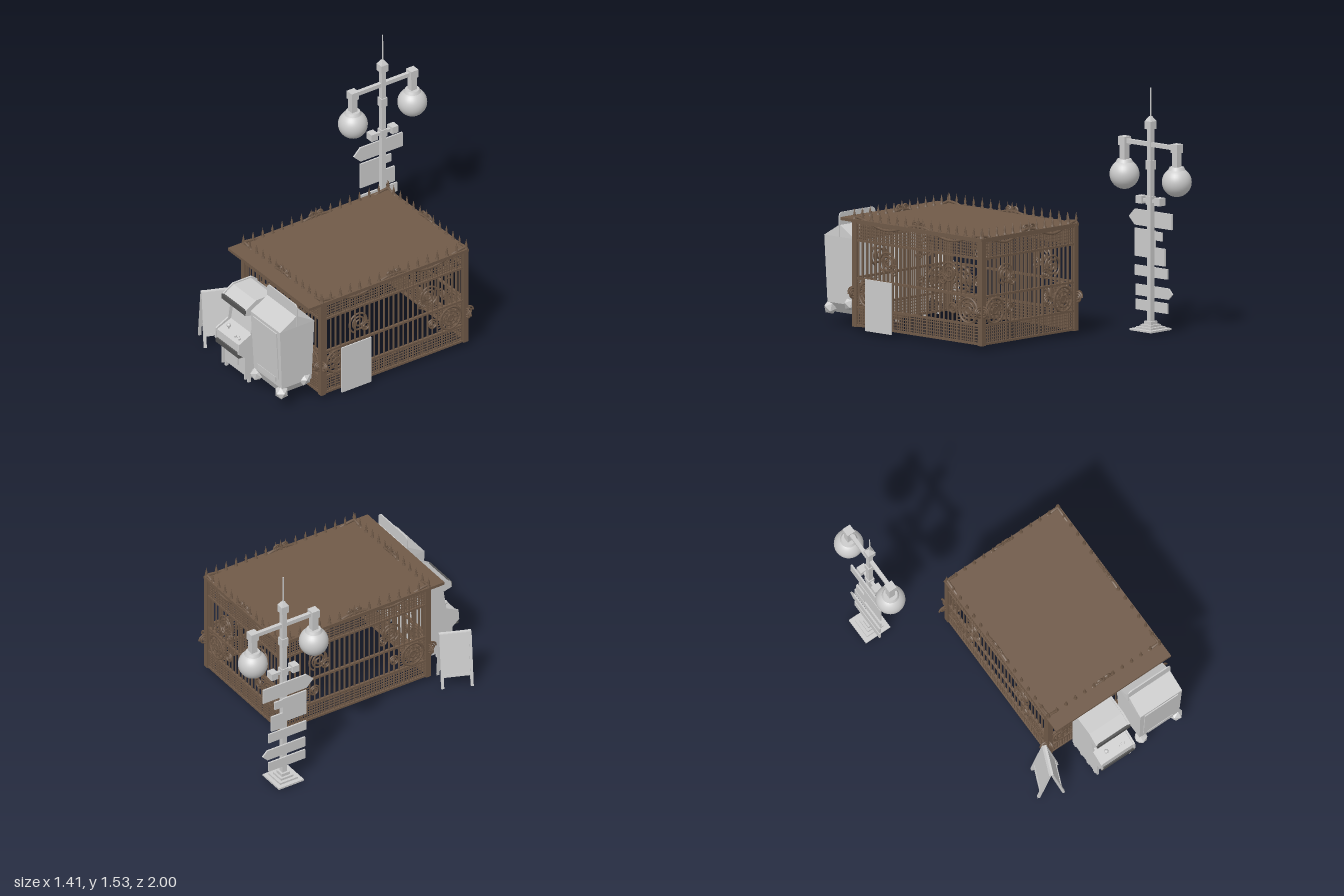
import * as THREE from 'three';
import { mergeGeometries } from 'three/addons/utils/BufferGeometryUtils.js';
import { ConvexGeometry } from 'three/addons/geometries/ConvexGeometry.js';

const grey = new THREE.MeshStandardMaterial({ color: 0xcccccc });
const flatGrey = new THREE.MeshStandardMaterial({ color: 0xcccccc, flatShading: true });
const dark = new THREE.MeshStandardMaterial({ color: 0x555555 });
const brown = new THREE.MeshStandardMaterial({ color: 0x705a48 });

function add(parent, name, geo, mat = grey, x = 0, y = 0, z = 0) {
  const m = new THREE.Mesh(geo, mat);
  m.name = name;
  m.position.set(x, y, z);
  parent.add(m);
  return m;
}
// box given by its extents
const span = (x0, x1, y0, y1, z0, z1) =>
  new THREE.BoxGeometry(x1 - x0, y1 - y0, z1 - z0).translate((x0 + x1) / 2, (y0 + y1) / 2, (z0 + z1) / 2);

function group(parent, name, x = 0, y = 0, z = 0) {
  const g = new THREE.Group();
  g.name = name;
  g.position.set(x, y, z);
  parent.add(g);
  return g;
}

// spiral scroll in the xy plane
function scroll(x, y, r, dir, turns = 2.2, start = 0) {
  const pts = [];
  for (let i = 0; i <= 30; i++) {
    const t = i / 30, a = start + t * turns * Math.PI * 2, q = r * (1 - 0.85 * t);
    pts.push(new THREE.Vector3(x + dir * q * Math.cos(a), y + q * Math.sin(a), 0));
  }
  return new THREE.TubeGeometry(new THREE.CatmullRomCurve3(pts), 48, 0.0065, 5);
}

// one wrought-iron wall of length L, in the xy plane
function fence(L) {
  const g = new THREE.Group(), h = L / 2;
  const frame = [], bars = [], mesh = [], orn = [], spikes = [];
  for (const s of [-1, 1]) {
    const x = s * (h - 0.012);
    frame.push(span(x - 0.017, x + 0.017, 0.03, 0.69, -0.014, 0.014));
  }
  for (const y of [0.04, 0.155, 0.335, 0.575, 0.685])
    frame.push(span(-h, h, y - 0.007, y + 0.007, -0.008, 0.008));

  const n = Math.round(L / 0.037), step = L / n;
  for (let i = 1; i < n; i++) {
    const x = -h + i * step;
    bars.push(span(x - 0.004, x + 0.004, 0.04, 0.69, -0.004, 0.004));
  }
  // fine lattice in the bottom and top bands
  for (const [y0, y1] of [[0.04, 0.155], [0.575, 0.685]]) {
    for (let i = 0; i < n; i++) {
      const x = -h + (i + 0.5) * step;
      mesh.push(span(x - 0.0025, x + 0.0025, y0, y1, -0.003, 0.003));
    }
    for (let y = y0 + 0.019; y < y1 - 0.008; y += 0.019)
      mesh.push(span(-h, h, y - 0.0025, y + 0.0025, -0.003, 0.003));
  }
  for (const s of [-1, 1]) {
    // lattice behind each wheel
    const a = s * h, b = s * (h - 0.22);
    for (let y = 0.175; y < 0.33; y += 0.02)
      mesh.push(span(Math.min(a, b), Math.max(a, b), y - 0.0025, y + 0.0025, -0.003, 0.003));
    // wheel medallion with small scrolls either side
    const wx = s * (h - 0.12), wy = 0.24;
    for (const [r, t] of [[0.078, 0.009], [0.05, 0.006], [0.022, 0.008]])
      orn.push(new THREE.TorusGeometry(r, t, 6, 28).translate(wx, wy, 0));
    for (let k = 0; k < 4; k++)
      orn.push(new THREE.BoxGeometry(0.15, 0.009, 0.009).rotateZ(k * Math.PI / 4).translate(wx, wy, 0));
    orn.push(scroll(wx + 0.135, wy, 0.038, 1), scroll(wx - 0.135, wy, 0.038, -1));
    // scroll pair in the upper field
    const sx = s * h * 0.48;
    orn.push(scroll(sx, 0.46, 0.075, s, 2.6, -1.2), scroll(sx - s * 0.055, 0.415, 0.036, -s, 2, 1));
    // crest scrolls at the middle
    orn.push(scroll(s * 0.026, 0.725, 0.024, s, 1.5));
  }
  // waved top rail, high at the middle and ends
  const wave = [];
  for (let i = 0; i <= 40; i++) {
    const u = i / 40;
    wave.push(new THREE.Vector3((u - 0.5) * L, 0.69 + 0.028 * Math.cos(u * Math.PI * 4), 0));
  }
  orn.push(new THREE.TubeGeometry(new THREE.CatmullRomCurve3(wave), 60, 0.009, 6));
  // spear finials
  const profile = [[0.012, 0], [0.012, 0.012], [0.006, 0.02], [0.008, 0.034], [0.003, 0.055], [0.0005, 0.072]]
    .map(p => new THREE.Vector2(...p));
  const k = Math.round(L / 0.073);
  for (let i = 0; i <= k; i++)
    spikes.push(new THREE.LatheGeometry(profile, 6).translate(-h + i * L / k, 0.7, 0));
  spikes.push(new THREE.LatheGeometry(profile, 6).translate(0, 0.705, 0));

  add(g, 'frame', mergeGeometries(frame), brown);
  add(g, 'bars', mergeGeometries(bars), brown);
  add(g, 'lattice', mergeGeometries(mesh), brown);
  add(g, 'ornaments', mergeGeometries(orn), brown);
  add(g, 'finials', mergeGeometries(spikes), brown);
  return g;
}

function buildCage(root) {
  const cage = group(root, 'cage');
  for (const [name, L, x, z, ry] of [
    ['frontFence', 0.85, 0.23, 0.655, 0], ['backFence', 0.85, 0.23, -0.435, Math.PI],
    ['leftFence', 1.1, 0.648, 0.11, Math.PI / 2], ['rightFence', 1.1, -0.188, 0.11, -Math.PI / 2]]) {
    const f = fence(L);
    f.name = name;
    f.position.set(x, 0, z);
    f.rotation.y = ry;
    cage.add(f);
  }
  add(cage, 'roof', span(-0.205, 0.665, 0.687, 0.706, -0.448, 0.765), brown);
}

function buildLamp(root) {
  const g = group(root, 'signPost', -0.6, 0, -0.685);
  const box = (name, w, y0, y1, z = 0, d = w) => add(g, name, new THREE.BoxGeometry(w, y1 - y0, d), grey, 0, (y0 + y1) / 2, z);
  [[0.185, 0.012, 0.024], [0.13, 0.024, 0.036], [0.09, 0.036, 0.05], [0.06, 0.05, 0.07]]
    .forEach(([w, a, b]) => box('baseStep', w, a, b));
  box('pole', 0.032, 0.05, 1.29);
  box('collar', 0.045, 1.02, 1.08);
  box('topBlock', 0.053, 1.275, 1.325);
  add(g, 'topCap', new THREE.CylinderGeometry(0.01, 0.037, 0.03, 4).rotateY(Math.PI / 4), flatGrey, 0, 1.34, 0);
  add(g, 'spire', new THREE.CylinderGeometry(0.004, 0.005, 0.19, 8), grey, 0, 1.44, 0);
  box('lampArm', 0.025, 1.165, 1.192, 0, 0.45);
  box('clampBar', 0.02, 0.815, 0.835, 0, 0.18);
  box('clamp', 0.045, 0.8, 0.852);
  for (const s of [-1, 1]) {
    box('armEnd', 0.056, 1.15, 1.205, s * 0.225);
    box('lampStem', 0.042, 1.06, 1.15, s * 0.225);
    add(g, 'lampCap', new THREE.CylinderGeometry(0.045, 0.055, 0.02, 20), grey, 0, 1.052, s * 0.225);
    add(g, 'lampGlobe', new THREE.SphereGeometry(0.093, 32, 20), grey, 0, 0.967, s * 0.225);
    box('clampEnd', 0.055, 0.802, 0.85, s * 0.078, 0.048);
  }
  // sign boards: z range, y range, pointed end (+1 front, -1 back, 0 none)
  for (const [z0, z1, y0, y1, p] of [
    [-0.85, -0.48, 0.655, 0.755, 1], [-0.705, -0.53, 0.46, 0.635, 0], [-0.765, -0.7, 0.575, 0.63, 0],
    [-0.79, -0.7, 0.42, 0.53, 0], [-0.81, -0.53, 0.34, 0.405, 0],
    [-0.855, -0.54, 0.215, 0.285, -1], [-0.81, -0.54, 0.125, 0.19, 0]]) {
    const t = (y1 - y0) / 2, a = p < 0 ? z0 + t : z0, b = p > 0 ? z1 - t : z1, m = (y0 + y1) / 2;
    const s = new THREE.Shape([[a, y0], [b, y0], [z1, p > 0 ? m : y0], [b, y1], [a, y1], [z0, p < 0 ? m : y1]]
      .map(q => new THREE.Vector2(-q[0] - 0.685, q[1])).reverse());
    const geo = new THREE.ExtrudeGeometry(s, { depth: 0.011, bevelEnabled: false }).rotateY(Math.PI / 2);
    add(g, 'signBoard', geo, grey, -0.028, 0, 0);
  }
}

function buildArcade(root) {
  const g = group(root, 'arcadeCabinet', 0.107, 0, 0);
  const extrude = (pts, w) => new THREE.ExtrudeGeometry(
    new THREE.Shape(pts.map(([z, y]) => new THREE.Vector2(-z, y))), { depth: w, bevelEnabled: false })
    .translate(0, 0, -w / 2).rotateY(Math.PI / 2);
  const side = [[0.68, 0.03], [0.68, 0.55], [0.72, 0.582], [0.86, 0.582], [0.935, 0.535], [0.94, 0.495],
    [0.88, 0.48], [0.9, 0.345], [0.99, 0.3], [0.995, 0.23], [0.945, 0.19], [0.945, 0.03]];
  const core = [[0.69, 0.04], [0.69, 0.55], [0.73, 0.575], [0.86, 0.575], [0.93, 0.53], [0.93, 0.5],
    [0.85, 0.49], [0.88, 0.335], [0.985, 0.292], [0.985, 0.235], [0.925, 0.2], [0.925, 0.04]];
  add(g, 'body', extrude(core, 0.235));
  for (const s of [-1, 1]) {
    add(g, 'sidePanel', extrude(side, 0.012), grey, s * 0.122);
    for (const z of [0.7, 0.77, 0.84, 0.91])
      add(g, 'foot', new THREE.BoxGeometry(0.014, 0.04, 0.02), grey, s * 0.12, 0.02, z);
  }
  add(g, 'marqueeTrim', span(-0.126, 0.126, 0.497, 0.53, 0.915, 0.944), dark);
  add(g, 'deckTrim', span(-0.126, 0.126, 0.2, 0.232, 0.94, 0.992), dark);
  add(g, 'coinDoor', span(-0.033, 0.033, 0.085, 0.17, 0.92, 0.934));
  add(g, 'stick', new THREE.CylinderGeometry(0.004, 0.004, 0.04, 8), grey, -0.055, 0.318, 0.94);
  add(g, 'stickBall', new THREE.SphereGeometry(0.014, 14, 10), grey, -0.055, 0.335, 0.94);
  for (const [x, z] of [[0.04, 0.955], [0.06, 0.945], [0.08, 0.955]])
    add(g, 'button', new THREE.CylinderGeometry(0.009, 0.009, 0.016, 12), grey, x, 0.308, z).rotation.x = 0.4;
}

function buildVending(root) {
  const g = group(root, 'vendingMachine', 0.46, 0, 0.82);
  // hull over stacked rectangles [y, half width, back z, front z]
  const pts = [];
  for (const [y, w, z0, z1] of [[0.085, 0.105, -0.09, 0.08], [0.15, 0.15, -0.115, 0.11],
    [0.57, 0.158, -0.13, 0.13], [0.645, 0.155, -0.004, 0.004]])
    for (const x of [-w, w]) for (const z of [z0, z1]) pts.push(new THREE.Vector3(x, y, z));
  add(g, 'body', new ConvexGeometry(pts), flatGrey);
  add(g, 'door', new THREE.BoxGeometry(0.25, 0.34, 0.012), grey, 0, 0.38, 0.122).rotation.x = 0.048;
  add(g, 'slot', new THREE.BoxGeometry(0.19, 0.035, 0.02), grey, 0, 0.198, 0.113);
  // rounded header plate
  const s = new THREE.Shape(), r = 0.03, w = 0.16;
  s.moveTo(-w, 0.57).lineTo(w, 0.57).lineTo(w, 0.725 - r);
  s.quadraticCurveTo(w, 0.725, w - r, 0.725).lineTo(-w + r, 0.725).quadraticCurveTo(-w, 0.725, -w, 0.725 - r);
  add(g, 'header', new THREE.ExtrudeGeometry(s, { depth: 0.008, bevelEnabled: false }), grey, 0, 0, -0.004);
  // faceted corner feet
  for (const sx of [-1, 1]) for (const [y, z] of [[0.115, 0.1], [0.155, -0.07]]) {
    const f = add(g, 'cornerFoot', new THREE.IcosahedronGeometry(0.045, 0), flatGrey, sx * 0.132, y, z);
    f.rotation.set(0.4, sx * 0.5, sx * 0.3);
  }
}

function buildSandwichBoard(root) {
  const g = group(root, 'sandwichBoard', -0.287, 0, 0.79);
  g.rotation.y = -0.39;
  for (const s of [-1, 1]) {
    const leaf = group(g, 'leaf', s * 0.006, 0.365, 0);
    leaf.rotation.z = s * 0.2;
    add(leaf, 'panel', span(-0.004, 0.004, -0.29, -0.005, -0.09, 0.09));
    for (const z of [-0.093, 0.093]) add(leaf, 'leg', span(-0.008, 0.008, -0.369, 0, z - 0.009, z + 0.009));
    for (const y of [-0.01, -0.285]) add(leaf, 'crossRail', span(-0.008, 0.008, y - 0.009, y + 0.009, -0.09, 0.09));
  }
}

export function createModel() {
  const root = new THREE.Group();
  root.name = 'kioskScene';
  buildCage(root);
  buildLamp(root);
  buildArcade(root);
  buildVending(root);
  buildSandwichBoard(root);
  add(root, 'sidePanelBoard', span(0.68, 0.689, 0.02, 0.345, 0.305, 0.53));
  return root;
}
